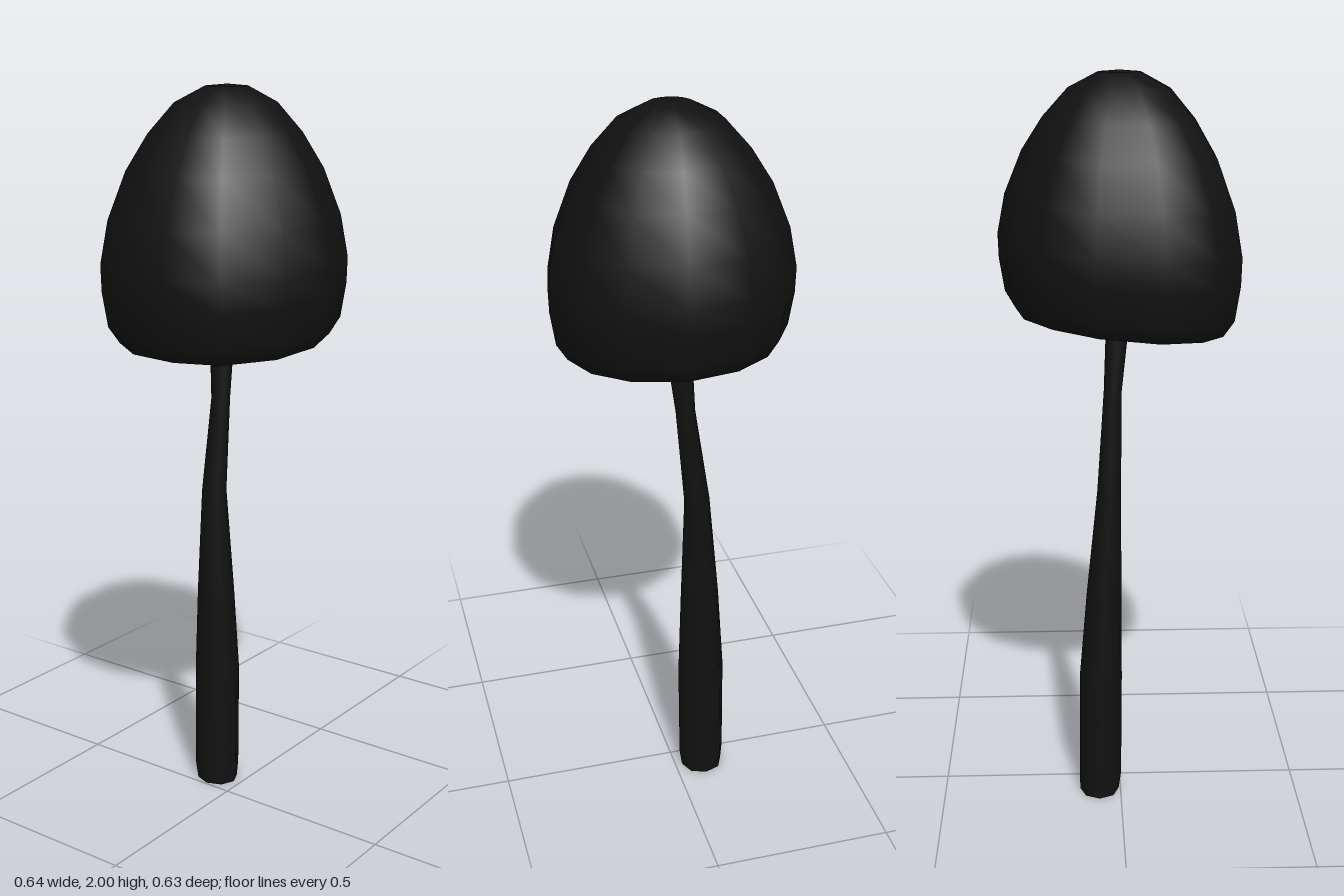
import * as THREE from 'three';

const material = new THREE.MeshStandardMaterial({ color: 0x111111, side: THREE.DoubleSide });

// Hollow bell-shaped cap: inner ceiling, down to the rounded lip, up the outside to the tip
function makeCap() {
  const profile = [
    [0, 1.6], [0.1, 1.57], [0.17, 1.5], [0.215, 1.42], [0.243, 1.365],
    [0.272, 1.355], [0.3, 1.4], [0.314, 1.49], [0.316, 1.56], [0.296, 1.67],
    [0.25, 1.79], [0.195, 1.88], [0.13, 1.955], [0.055, 1.995], [0, 2],
  ].map(([r, y]) => new THREE.Vector2(r, y));

  // Slightly uneven outline: [scale, angle in degrees] of each side
  const outline = [
    [1.01, 0], [1, 28], [1.01, 54.6], [1.015, 83.8], [1, 113.3], [1, 139.9], [1.02, 167.5],
    [1.05, 199.2], [1.055, 225.6], [1.05, 249], [1.015, 277], [1.04, 303.5], [1.035, 332.4],
  ];
  const sides = outline.length;
  const geometry = new THREE.LatheGeometry(profile, sides);
  const pos = geometry.attributes.position;
  for (let i = 0; i < pos.count; i++) {
    const point = profile[i % profile.length];
    const [scale, degrees] = outline[Math.floor(i / profile.length) % sides];
    const angle = THREE.MathUtils.degToRad(degrees);
    const x = point.x * scale * Math.sin(angle);
    const z = point.x * scale * Math.cos(angle);
    // Lean the rim: lower on the -x side, fading out towards the tip
    const fade = Math.min(1, (2 - point.y) / 0.6);
    pos.setXYZ(i, x, point.y + (0.1 * x - 0.02 * z) * fade, z);
  }
  const cap = new THREE.Mesh(geometry, material);
  cap.name = 'cap';
  return cap;
}

// Bent, tapering stem: a cylinder whose rings follow [y, x, z, radiusX, radiusZ]
function makeStem() {
  const rings = [
    [0, 0.06, -0.08, 0.055, 0.06],
    [0.05, 0.057, -0.079, 0.059, 0.066],
    [0.35, 0.055, -0.076, 0.059, 0.067],
    [0.6, 0.045, -0.073, 0.048, 0.055],
    [0.9, 0.03, -0.067, 0.032, 0.036],
    [1.17, 0.019, -0.036, 0.024, 0.027],
    [1.36, 0.005, -0.02, 0.031, 0.036],
    [1.6, -0.005, -0.004, 0.042, 0.044],
  ];
  const last = rings.length - 1;
  const geometry = new THREE.CylinderGeometry(1, 1, last, 8, last);
  const pos = geometry.attributes.position;
  for (let i = 0; i < pos.count; i++) {
    const [y, cx, cz, rx, rz] = rings[Math.round(pos.getY(i) + last / 2)];
    pos.setXYZ(i, cx + pos.getX(i) * rx, y, cz + pos.getZ(i) * rz);
  }
  const stem = new THREE.Mesh(geometry, material);
  stem.name = 'stem';
  return stem;
}

export function createModel() {
  const mushroom = new THREE.Group();
  mushroom.name = 'mushroom';
  mushroom.add(makeCap(), makeStem());
  return mushroom;
}
